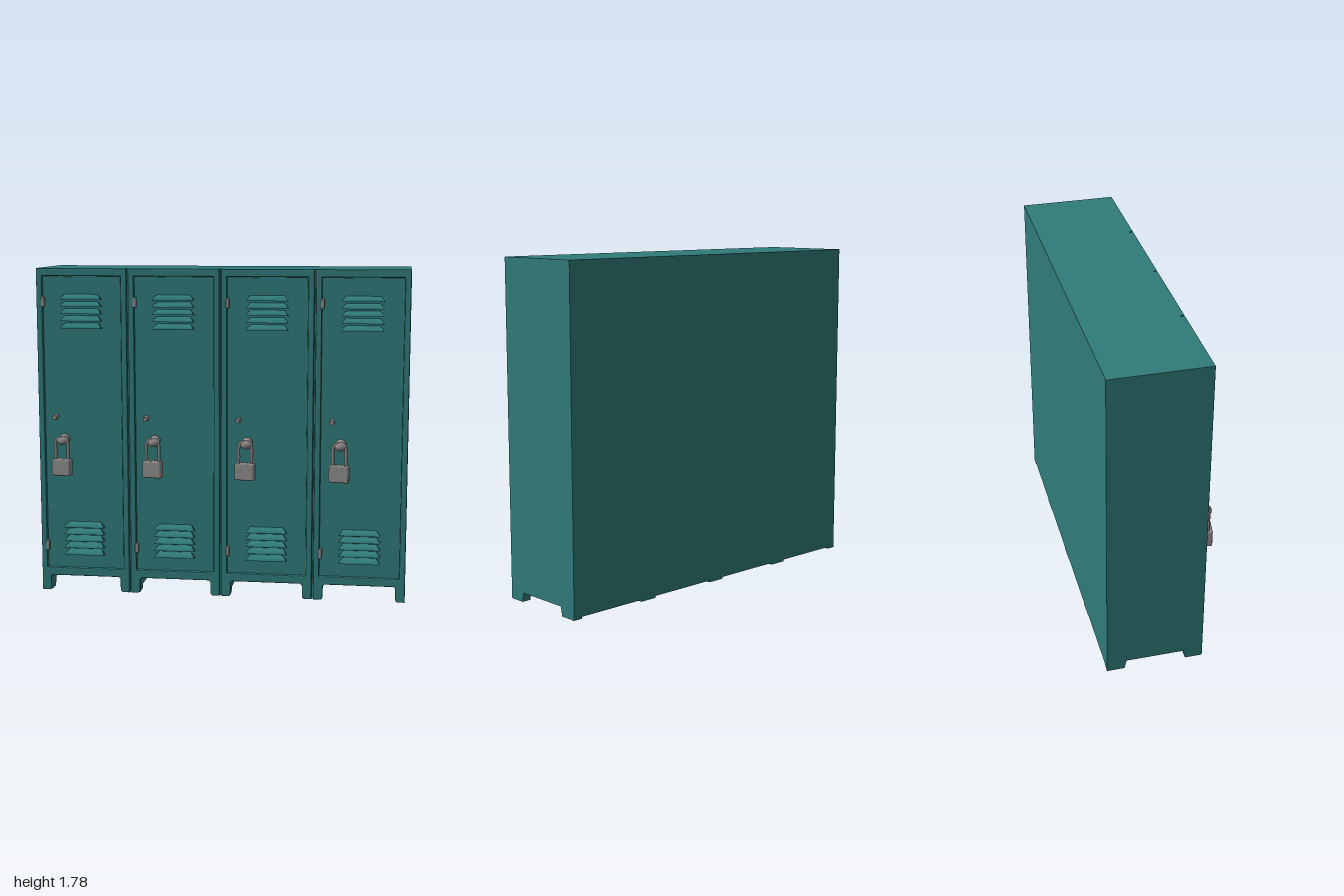
import * as THREE from 'three';
import { RoundedBoxGeometry } from 'three/addons/geometries/RoundedBoxGeometry.js';

const H = 1.78, BACK = -0.295, FRONT = 0.225, DOOR_Z = 0.203, PITCH = 0.502, WIDTH = 0.494;

const teal = new THREE.MeshStandardMaterial({ color: 0x2f7b79 });
teal.name = 'teal paint';
const steel = new THREE.MeshStandardMaterial({ color: 0x8a8785 });
steel.name = 'grey steel';

function add(parent, name, geometry, material, x = 0, y = 0, z = 0) {
  const mesh = new THREE.Mesh(geometry, material);
  mesh.name = name;
  mesh.position.set(x, y, z);
  parent.add(mesh);
  return mesh;
}

function polygon(points, Type = THREE.Shape) {
  return new Type(points.map(([x, y]) => new THREE.Vector2(x, y)));
}

// Face frame of one locker: door opening above, kick cutout between two feet below
function frameGeometry() {
  const w = WIDTH / 2;
  const shape = polygon([
    [-w, 0], [-0.205, 0], [-0.195, 0.012], [-0.195, 0.075], [-0.185, 0.085],
    [0.185, 0.085], [0.195, 0.075], [0.195, 0.012], [0.205, 0], [w, 0], [w, H], [-w, H],
  ]);
  shape.holes.push(polygon([[-0.215, 0.13], [-0.215, 1.738], [0.215, 1.738], [0.215, 0.13]], THREE.Path));
  const bevel = 0.006;
  const geo = new THREE.ExtrudeGeometry(shape, {
    depth: FRONT - DOOR_Z - bevel, bevelEnabled: true, bevelSize: bevel,
    bevelOffset: -bevel, bevelThickness: bevel, bevelSegments: 2,
  });
  return geo.translate(0, 0, DOOR_Z);
}

// Side skirt under the body, with a low cutout between front and rear foot
function skirtGeometry(width, cut) {
  const shape = polygon([
    [BACK, 0], [-0.2, 0], [-0.19, cut], [0.12, cut], [0.13, 0], [DOOR_Z, 0], [DOOR_Z, 0.1], [BACK, 0.1],
  ]);
  const geo = new THREE.ExtrudeGeometry(shape, { depth: width, bevelEnabled: false });
  return geo.translate(0, 0, -width / 2).rotateY(-Math.PI / 2);
}

// Vent hood: quarter-round profile, narrower towards its top
function louverGeometry() {
  const h = 0.028, d = 0.045;
  const shape = new THREE.Shape();
  shape.moveTo(0, 0);
  for (let i = 0; i <= 6; i++) {
    const a = (i / 6) * Math.PI / 2;
    shape.lineTo(-d * Math.cos(a), h * Math.sin(a));
  }
  const geo = new THREE.ExtrudeGeometry(shape, { depth: 0.22, bevelEnabled: false });
  geo.translate(0, 0, -0.11).rotateY(Math.PI / 2);
  const p = geo.attributes.position;
  for (let i = 0; i < p.count; i++) {
    const t = p.getY(i) / h;
    p.setX(i, p.getX(i) * (1 - 0.2 * t * t));
  }
  geo.computeVertexNormals();
  return geo;
}

// Padlock: rounded case hanging from a U-shaped shackle
function createPadlock() {
  const lock = new THREE.Group();
  lock.name = 'padlock';
  add(lock, 'padlockCase', new RoundedBoxGeometry(0.106, 0.092, 0.048, 2, 0.008), steel, 0, 0.706, 0);
  const r = 0.036, points = [new THREE.Vector3(-r, 0.74, 0), new THREE.Vector3(-r, 0.79, 0)];
  for (let i = 0; i <= 8; i++) {
    const a = Math.PI * (1 - i / 8);
    points.push(new THREE.Vector3(r * Math.cos(a), 0.833 + r * Math.sin(a), 0));
  }
  points.push(new THREE.Vector3(r, 0.79, 0), new THREE.Vector3(r, 0.74, 0));
  add(lock, 'shackle', new THREE.TubeGeometry(new THREE.CatmullRomCurve3(points), 32, 0.009, 8), steel);
  return lock;
}

const disc = (r1, r2, depth) => new THREE.CylinderGeometry(r1, r2, depth, 16).rotateX(Math.PI / 2);

function createLocker(shared) {
  const locker = new THREE.Group();
  locker.name = 'locker';
  add(locker, 'frontFrame', shared.frame, teal);
  add(locker, 'door', new THREE.BoxGeometry(0.424, 1.6, 0.008), teal, 0, 0.934, DOOR_Z + 0.002);

  // Upper and lower vents
  for (const base of [1.46, 0.21]) {
    for (let i = 0; i < 5; i++) add(locker, 'louver', shared.louver, teal, 0, base + i * 0.0385, DOOR_Z);
  }
  // Hinges
  for (const y of [1.6, 0.255]) {
    add(locker, 'hinge', new RoundedBoxGeometry(0.02, 0.054, 0.026, 2, 0.006), steel, -0.212, y, 0.218);
  }
  // Rivet, latch and padlock
  add(locker, 'rivet', disc(0.012, 0.016, 0.046), steel, -0.155, 0.975, 0.226);
  add(locker, 'latchPost', disc(0.022, 0.03, 0.05), steel, -0.107, 0.853, 0.228);
  const knob = add(locker, 'latchKnob', new THREE.SphereGeometry(0.03, 16, 10), steel, -0.105, 0.85, 0.262);
  knob.scale.set(1.1, 0.8, 0.8);
  const lock = createPadlock();
  lock.position.set(-0.112, 0, 0.264);
  lock.rotation.y = -0.17;
  locker.add(lock);
  return locker;
}

export function createModel() {
  const model = new THREE.Group();
  model.name = 'lockerBank';

  // Cabinet body and rear panel down to the floor
  add(model, 'body', new THREE.BoxGeometry(2, H - 0.088, DOOR_Z - BACK), teal,
    0, (H + 0.088) / 2, (DOOR_Z + BACK) / 2);
  add(model, 'rearKick', new THREE.BoxGeometry(1.999, 0.09, 0.03), teal, 0, 0.055, BACK + 0.015);

  // Skirts with feet at the ends and under each divider
  for (const side of [-1, 1]) add(model, 'endSkirt', skirtGeometry(0.05, 0.05), teal, side * 0.975);
  for (const i of [-1, 0, 1]) add(model, 'dividerSkirt', skirtGeometry(0.1, 0.025), teal, i * PITCH);

  // Four lockers in a row
  const shared = { frame: frameGeometry(), louver: louverGeometry() };
  for (let i = 0; i < 4; i++) {
    const locker = createLocker(shared);
    locker.position.x = (i - 1.5) * PITCH;
    model.add(locker);
  }
  return model;
}
